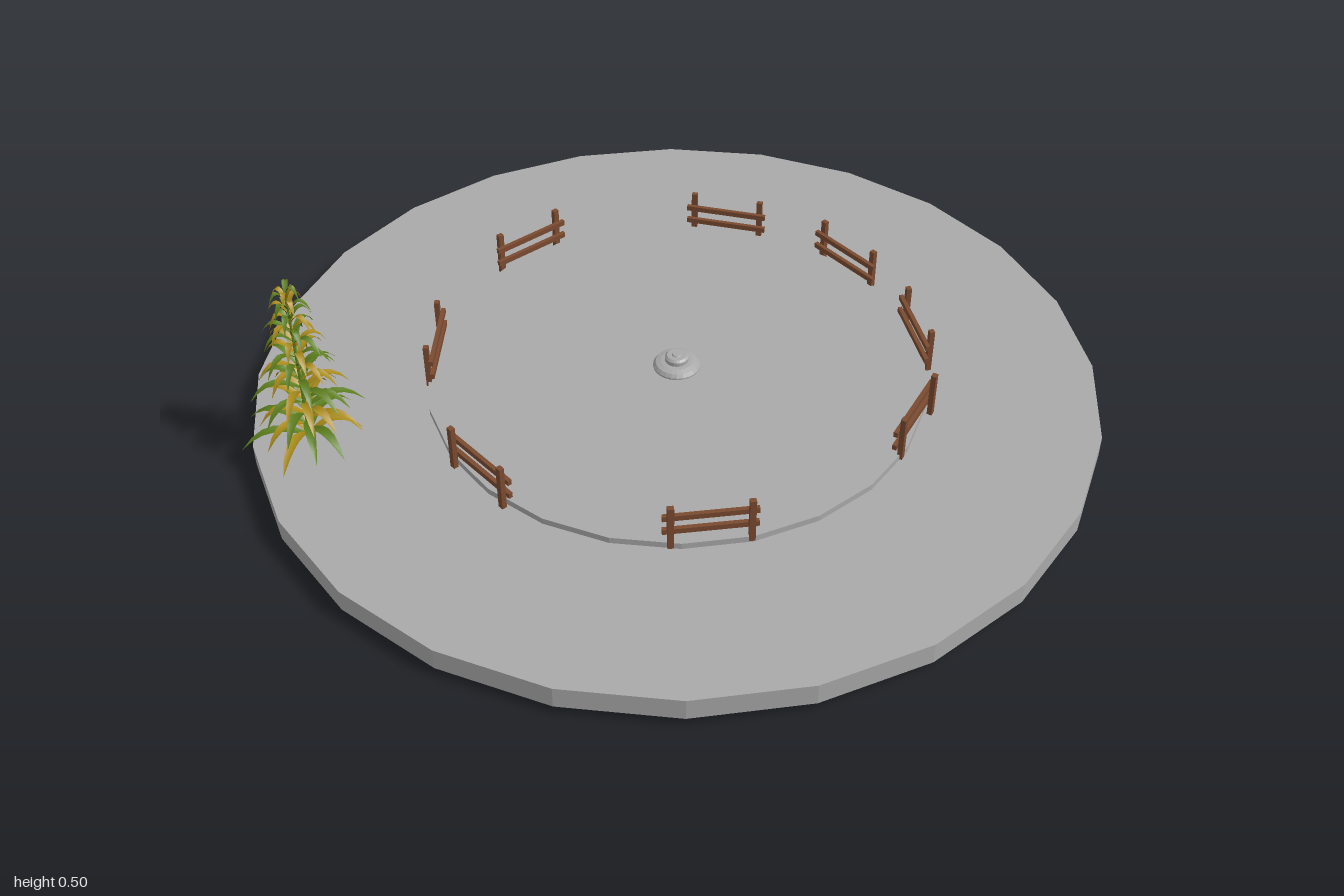
import * as THREE from 'three';
import { mergeGeometries } from 'three/addons/utils/BufferGeometryUtils.js';

const mat = (name, color, extra = {}) => Object.assign(new THREE.MeshStandardMaterial({ color, ...extra }), { name });
const CX = 0.013; // centre of the round ground

// A curved, tapering ribbon that rises from the stem and droops at its tip
function leafGeometry(length, width, rise, droop) {
  const pos = [], index = [], n = 6;
  for (let i = 0; i <= n; i++) {
    const t = i / n;
    const x = length * t;
    const y = rise * Math.sin(t * Math.PI * 0.8) - droop * t * t * t;
    const w = width * 0.5 * Math.pow(Math.sin(Math.PI * (0.12 + 0.88 * t)), 0.8) + 0.0003;
    pos.push(x, y + w * 0.35, -w, x, y, 0, x, y + w * 0.35, w);
    if (i < n) {
      const a = i * 3;
      for (const k of [a, a + 1]) index.push(k, k + 1, k + 3, k + 1, k + 4, k + 3);
    }
  }
  const g = new THREE.BufferGeometry();
  g.setAttribute('position', new THREE.Float32BufferAttribute(pos, 3));
  g.setIndex(index);
  g.computeVertexNormals();
  return g;
}

function createPlant(green, yellow) {
  const plant = new THREE.Group();
  plant.name = 'plant';
  const stem = new THREE.Mesh(new THREE.CylinderGeometry(0.002, 0.006, 0.47, 6), green);
  stem.name = 'stem';
  stem.position.y = 0.235;
  plant.add(stem);

  // Whorls of leaves, shorter towards the top
  const greens = [], yellows = [];
  const levels = 13, perLevel = 6;
  for (let l = 0; l < levels; l++) {
    const f = l / (levels - 1);
    const y = 0.085 + f * 0.375;
    for (let k = 0; k < perLevel; k++) {
      const vary = 1 - 0.22 * ((k * 5 + l * 3) % 4) / 3;
      const length = (0.152 - 0.112 * f) * vary;
      const g = leafGeometry(length, 0.024 - 0.012 * f, 0.036 - 0.004 * f, 0.032 * (1 - 0.4 * f));
      g.rotateY(Math.PI + (k / perLevel) * Math.PI * 2 + l * 0.55);
      g.translate(0, y + 0.004 * ((k * 2) % 5 - 2), 0);
      ((k + l) % 2 ? yellows : greens).push(g);
    }
  }
  for (const [name, list, m] of [['greenLeaves', greens, green], ['yellowLeaves', yellows, yellow]]) {
    const mesh = new THREE.Mesh(mergeGeometries(list), m);
    mesh.name = name;
    plant.add(mesh);
  }
  return plant;
}

// Two posts with two rails, lying along local x
function createFence(wood) {
  const fence = new THREE.Group();
  fence.name = 'fence';
  const bar = (name, w, h, d, x, y, z) => {
    const m = new THREE.Mesh(new THREE.BoxGeometry(w, h, d), wood);
    m.name = name;
    m.position.set(x, y, z);
    fence.add(m);
  };
  for (const s of [-1, 1]) bar('post', 0.014, 0.112, 0.012, s * 0.086, 0.131, 0.006);
  for (const y of [0.112, 0.149]) bar('rail', 0.206, 0.013, 0.01, 0, y, -0.005);
  return fence;
}

export function createModel() {
  const stone = mat('stone grey', 0xa9a9a9, { flatShading: true });
  const wood = mat('wood brown', 0x7a4a30);
  const green = mat('leaf green', 0x5c7d1c, { side: THREE.DoubleSide });
  const yellow = mat('leaf yellow', 0xa88a1a, { side: THREE.DoubleSide });

  const model = new THREE.Group();
  model.name = 'fencedGround';

  // Ground slab and the raised ring floor
  const disc = (name, r, y0, y1) => {
    const m = new THREE.Mesh(new THREE.CylinderGeometry(r, r, y1 - y0, 24), stone);
    m.name = name;
    m.position.set(CX, (y0 + y1) / 2, 0);
    model.add(m);
  };
  disc('groundSlab', 0.986, 0.02, 0.072);
  disc('innerFloor', 0.587, 0.07, 0.087);

  // Stepped cap in the middle
  const profile = [[0.056, 0.085], [0.056, 0.091], [0.05, 0.099], [0.038, 0.103], [0.028, 0.104],
    [0.028, 0.114], [0.023, 0.119], [0.012, 0.119], [0.01, 0.122], [0, 0.122]];
  const cap = new THREE.Mesh(
    new THREE.LatheGeometry(profile.map(([x, y]) => new THREE.Vector2(x, y)), 24), stone);
  cap.name = 'centreCap';
  cap.position.x = CX;
  model.add(cap);

  // Fence sections round the ring: end points x0, z0, x1, z1
  const sections = [
    [-0.32, -0.487, -0.13, -0.572], [0.2, -0.55, 0.38, -0.446],
    [0.488, -0.347, 0.572, -0.157], [0.592, -0.03, 0.576, 0.178],
    [0.535, 0.294, 0.388, 0.44], [0.027, 0.578, -0.176, 0.549],
    [-0.46, 0.357, -0.553, 0.172], [-0.557, -0.086, -0.494, -0.281],
  ];
  for (const [x0, z0, x1, z1] of sections) {
    const fence = createFence(wood);
    fence.position.set((x0 + x1) / 2, 0, (z0 + z1) / 2);
    // Every section runs clockwise seen from above, so turn its posts outwards
    fence.rotation.y = Math.atan2(-(z1 - z0), x1 - x0) + Math.PI;
    model.add(fence);
  }

  const plant = createPlant(green, yellow);
  plant.position.set(-0.846, 0, 0);
  model.add(plant);
  return model;
}
